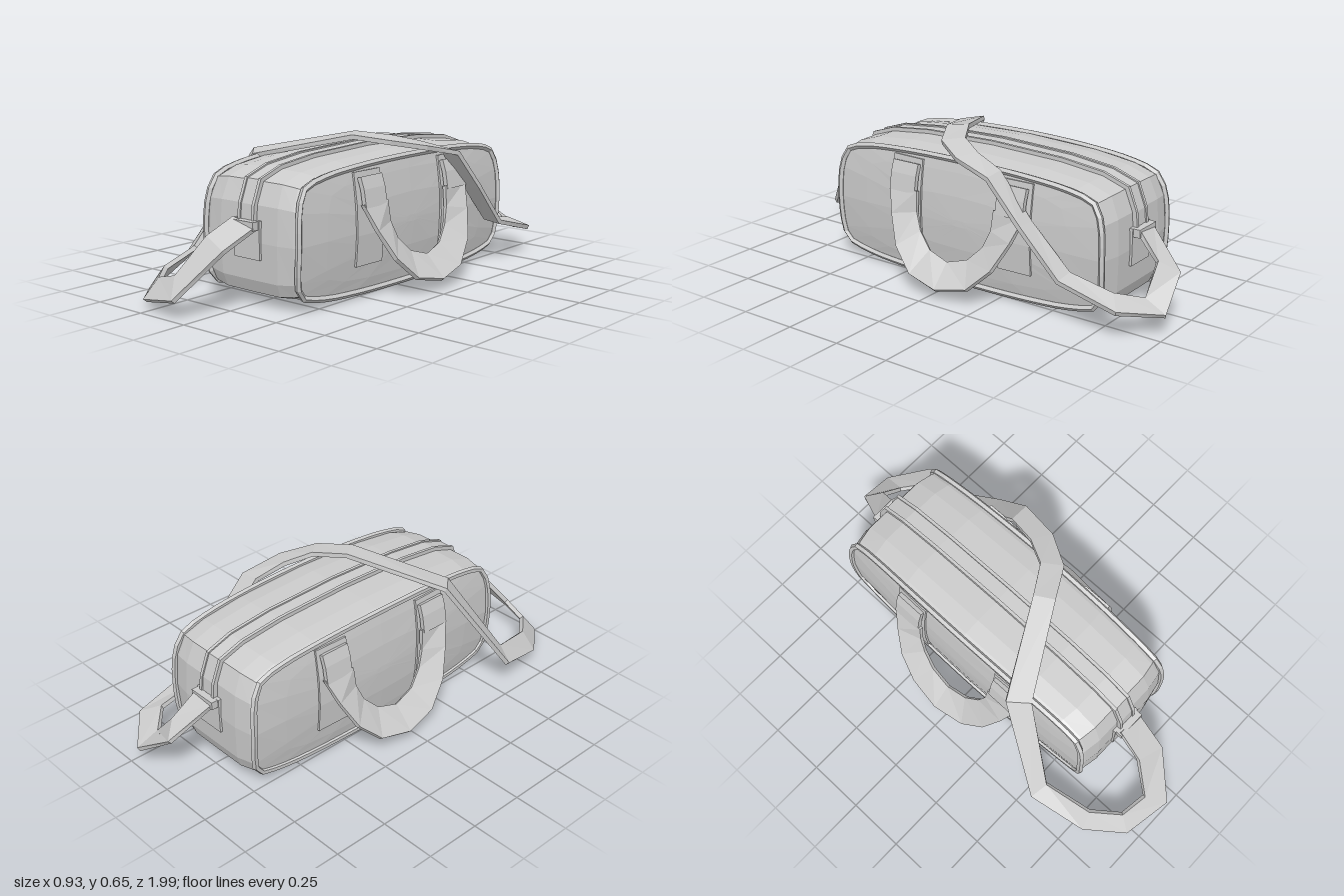
import * as THREE from 'three';

const material = new THREE.MeshStandardMaterial({ color: 0xcccccc, flatShading: true });
const Z0 = -0.05, YC = 0.29;

// Half of the bag's long outline, [distance from middle, height], top to bottom
const half = [[0, 0.577], [0.35, 0.567], [0.55, 0.545], [0.655, 0.51], [0.692, 0.42], [0.702, 0.27],
  [0.695, 0.11], [0.675, 0.055], [0.55, 0.02], [0.35, 0.005], [0, 0]];
const outline = [...half.map(([d, y]) => [-d, y]), ...half.slice(1, -1).reverse()];

// Half width of the bag, fuller towards its middle
const sideX = (y, d) => 0.222 + 0.028 * (1 - (d / 0.7) ** 2) + 0.035 * (1 - ((y - YC) / 0.29) ** 2);

function mesh(name, geometry) {
  const m = new THREE.Mesh(geometry, material);
  m.name = name;
  return m;
}

// Skin a row of equal rings (clockwise when seen from the far end) and cap both ends
function loft(rings) {
  const n = rings[0].length, last = (rings.length - 1) * n, index = [];
  for (let i = 0; i < rings.length - 1; i++) {
    for (let j = 0; j < n; j++) {
      const a = i * n + j, b = i * n + (j + 1) % n;
      index.push(a, a + n, b, b, a + n, b + n);
    }
  }
  for (let k = 1; k < n - 1; k++) index.push(0, k, k + 1, last, last + k + 1, last + k);
  const g = new THREE.BufferGeometry();
  g.setAttribute('position', new THREE.Float32BufferAttribute(rings.flat().flatMap(p => p.toArray()), 3));
  g.setIndex(index);
  g.computeVertexNormals();
  return g;
}

// Webbing with thickness between two edges; each station is [ax, ay, az, bx, by, bz]
function ribbon(stations, thickness) {
  const edges = stations.map(s => [new THREE.Vector3(...s.slice(0, 3)), new THREE.Vector3(...s.slice(3))]);
  const mid = edges.map(([a, b]) => a.clone().add(b).multiplyScalar(0.5));
  return loft(edges.map(([a, b], i) => {
    const t = mid[Math.min(i + 1, mid.length - 1)].clone().sub(mid[Math.max(i - 1, 0)]);
    const n = t.cross(b.clone().sub(a)).normalize().multiplyScalar(thickness / 2);
    return [a.clone().add(n), b.clone().add(n), b.clone().sub(n), a.clone().sub(n)];
  }));
}

// One closed ring of the body: width fraction f, outline scaled in length and height
function bodyRing(f, sz, sy) {
  return outline.map(([d, y]) => {
    const yy = YC + (y - YC) * sy, dd = d * sz;
    return new THREE.Vector3(f * sideX(yy, dd), yy, Z0 + dd);
  });
}

export function createModel() {
  const model = new THREE.Group();
  model.name = 'duffelBag';
  const bag = new THREE.Group();
  bag.name = 'bag';
  bag.position.x = 0.008;
  model.add(bag);

  // Padded body, from side panel to side panel
  const profile = [[1, 0.05, 0.05], [1, 0.4, 0.4], [1, 0.75, 0.75], [1, 0.97, 0.92], [0.9, 0.982, 0.955], [0.62, 1, 0.995]];
  bag.add(mesh('body', loft([
    ...profile.map(([f, a, b]) => bodyRing(-f, a, b)),
    bodyRing(0, 1, 1),
    ...profile.slice().reverse().map(([f, a, b]) => bodyRing(f, a, b)),
  ])));

  // Piping around both side panels
  for (const s of [-1, 1]) {
    const curve = new THREE.CatmullRomCurve3(bodyRing(s, 0.975, 0.935), true, 'centripetal');
    bag.add(mesh('piping', new THREE.TubeGeometry(curve, 60, 0.014, 5, true)));
  }

  // Zip band over the top with a raised cord on each edge
  const run = [[0.706, 0.34], [0.698, 0.42], [0.662, 0.513], [0.55, 0.55], [0.35, 0.572], [0, 0.582]];
  const zipPath = [...run, ...run.slice(0, -1).reverse().map(([d, y]) => [-d, y])];
  const band = (x0, x1, t) => ribbon(zipPath.map(([d, y]) => [x0, y, Z0 + d, x1, y, Z0 + d]), t);
  bag.add(mesh('zipBand', band(-0.043, 0.043, 0.012)));
  for (const x of [-0.038, 0.038]) bag.add(mesh('zipCord', band(x - 0.007, x + 0.007, 0.024)));

  // End patches and strap clasps
  for (const s of [-1, 1]) {
    const patch = mesh('endPatch', new THREE.BoxGeometry(0.14, 0.16, 0.015));
    patch.position.set(0, 0.28, Z0 + s * 0.703);
    const clasp = mesh('strapClasp', new THREE.BoxGeometry(0.13, 0.035, 0.035));
    clasp.position.set(0, 0.342, Z0 + s * 0.723);
    bag.add(patch, clasp);
  }

  // Carry handles with their sewn patches, on both sides
  const handleHalf = [ // outer d, y, x; inner d, y, x
    [0.35, 0.4, 0.3, 0.2, 0.4, 0.305], [0.31, 0.29, 0.345, 0.195, 0.31, 0.315],
    [0.25, 0.17, 0.395, 0.165, 0.235, 0.33], [0.15, 0.075, 0.43, 0.1, 0.17, 0.35],
    [0, 0.045, 0.45, 0, 0.14, 0.36]];
  const handlePath = [...handleHalf, ...handleHalf.slice(0, -1).reverse().map(h => [-h[0], h[1], h[2], -h[3], h[4], h[5]])];
  for (const s of [-1, 1]) {
    bag.add(mesh('handle', ribbon(handlePath.map(([d, y, x, e, v, u]) => [s * x, y, Z0 + d, s * u, v, Z0 + e]), 0.018)));
    for (const e of [-1, 1]) {
      const d0 = e * 0.2, d1 = e * 0.36;
      const strip = [0.53, 0.4, 0.27, 0.14].map(y =>
        [s * (sideX(y, d0) + 0.003), y, Z0 + d0, s * (sideX(y, d1) + 0.003), y, Z0 + d1]);
      bag.add(mesh('handlePatch', ribbon(strip, 0.012)));
      const tab = [[0.278, 0.51], [0.295, 0.46], [0.308, 0.385]].map(([x, y]) =>
        [s * x, y, Z0 + e * 0.21, s * x, y, Z0 + e * 0.345]);
      bag.add(mesh('handleTab', ribbon(tab, 0.02)));
    }
  }

  // Long shoulder strap, looping from the front clasp over the top to the back clasp
  model.add(mesh('shoulderStrap', ribbon([
    [-0.05, 0.36, 0.675, 0.07, 0.33, 0.675],
    [-0.07, 0.3, 0.8, 0.05, 0.26, 0.83],
    [-0.135, 0.15, 0.91, -0.07, 0.075, 0.99],
    [-0.25, 0.12, 0.89, -0.28, 0.035, 0.95],
    [-0.34, 0.13, 0.78, -0.4, 0.045, 0.8],
    [-0.385, 0.17, 0.57, -0.46, 0.12, 0.55],
    [-0.25, 0.55, 0.35, -0.32, 0.56, 0.27],
    [0.12, 0.64, 0.14, 0.07, 0.645, 0.06],
    [0.26, 0.62, 0.06, 0.2, 0.63, -0.02],
    [0.345, 0.59, -0.08, 0.26, 0.6, -0.13],
    [0.38, 0.55, -0.26, 0.29, 0.56, -0.26],
    [0.385, 0.38, -0.42, 0.3, 0.38, -0.42],
    [0.375, 0.19, -0.6, 0.29, 0.2, -0.6],
    [0.362, 0.12, -0.86, 0.285, 0.16, -0.8],
    [0.2, 0.085, -0.99, 0.19, 0.13, -0.89],
    [0.025, 0.2, -0.95, 0.085, 0.25, -0.88],
    [-0.05, 0.34, -0.775, 0.06, 0.35, -0.775],
  ], 0.02)));

  return model;
}
